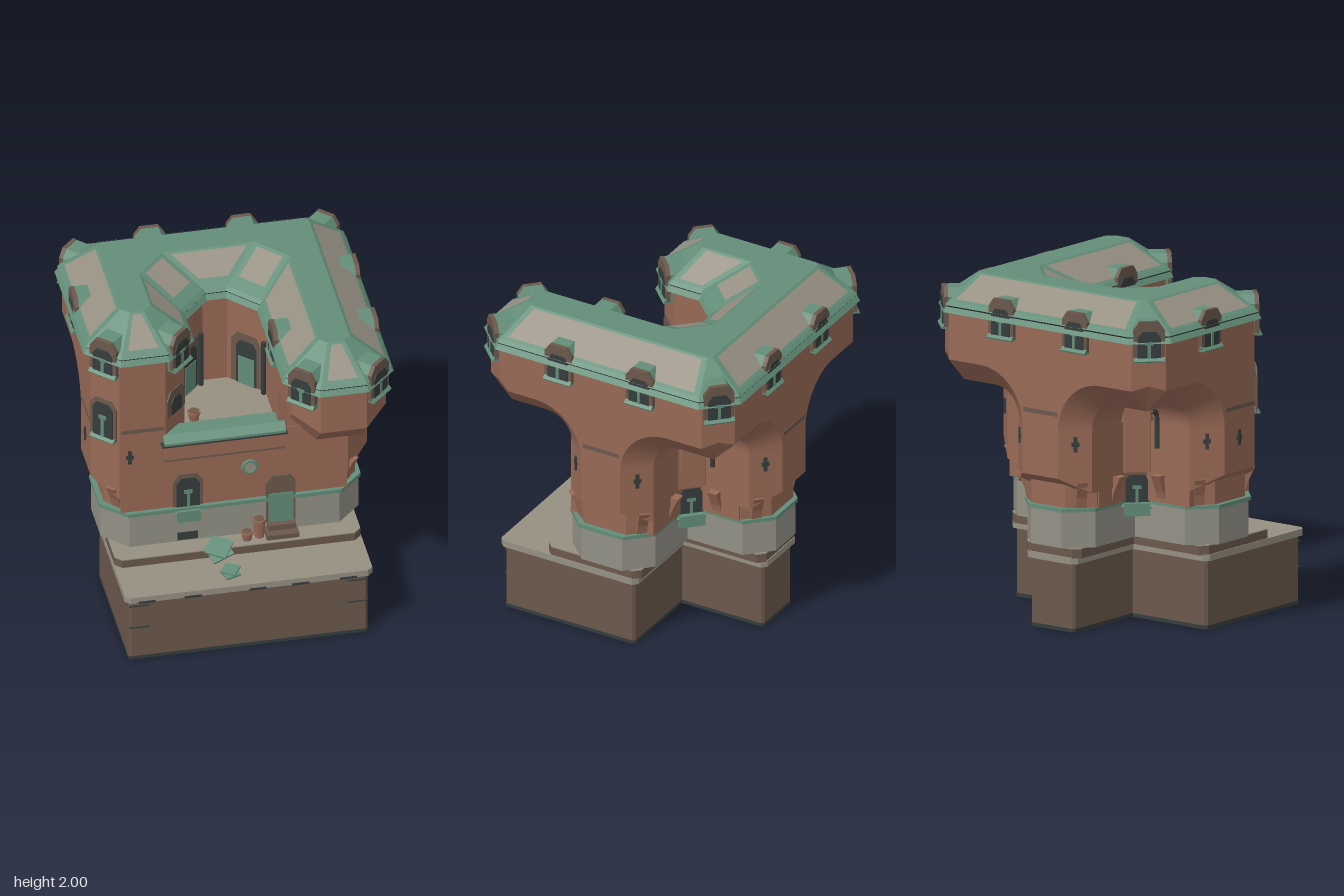
import * as THREE from 'three';

const mat = (name, color) => {
  const m = new THREE.MeshStandardMaterial({ color });
  m.name = name;
  return m;
};

export function createModel() {
  const clay = mat('terracotta', 0x986956), green = mat('patina green', 0x638d78), stone = mat('pale stone', 0x969082);
  const brown = mat('brown rock', 0x6b584c), dark = mat('dark slate', 0x353d3c), grey = mat('grey plaster', 0x929085);
  brown.side = THREE.DoubleSide;
  const root = new THREE.Group();
  const add = (name, geo, m, parent = root) => {
    const mesh = new THREE.Mesh(geo, m);
    mesh.name = name;
    parent.add(mesh);
    return mesh;
  };
  const box = (name, m, x0, x1, y0, y1, z0, z1, parent) => add(name,
    new THREE.BoxGeometry(x1 - x0, y1 - y0, z1 - z0).translate((x0 + x1) / 2, (y0 + y1) / 2, (z0 + z1) / 2), m, parent);
  const shapeOf = pts => new THREE.Shape(pts.map(p => new THREE.Vector2(p[0], p[1])));
  // Vertical prism over a plan polygon of [x, z] points
  const prism = (name, m, plan, y0, y1) => add(name,
    new THREE.ExtrudeGeometry(shapeOf(plan.map(([x, z]) => [x, -z])), { depth: y1 - y0, bevelEnabled: false })
      .rotateX(-Math.PI / 2).translate(0, y0, 0), m);
  // Faces from lists of four corners
  const quads = list => {
    const g = new THREE.BufferGeometry().setFromPoints(list.flatMap(([a, b, c, d]) => [a, b, c, a, c, d]));
    g.computeVertexNormals();
    return g;
  };
  const strip = (up, low) => quads(up.map((p, i) => {
    const j = (i + 1) % up.length;
    return [low[i], p, up[j], low[j]];
  }));
  const loop = (plan, y) => plan.map(([x, z]) => new THREE.Vector3(x, y, z));
  // T-shaped plan with two notched back corners and chamfered ends
  const tee = (w, front, a, c) => {
    const half = [[w - c, front], [w, front - c], [w, -a + c], [w - c, -a], [a, -a], [a, -w + c], [a - c, -w]];
    return [...half, ...half.map(([x, z]) => [-x, z]).reverse()];
  };
  // Group whose local +z points outwards
  const spot = (name, x, y, z, angle) => {
    const g = new THREE.Group();
    g.name = name;
    g.position.set(x, y, z);
    g.rotation.y = angle;
    root.add(g);
    return g;
  };
  const Q = Math.PI / 4;

  // Hollow rock base, ledge and terrace
  const basePlan = tee(0.7, 0.7, 0.16, 0.015).reverse(), footPlan = tee(0.704, 0.704, 0.164, 0.015).reverse();
  add('base', strip(loop(basePlan, 0.41), loop(basePlan, 0)), brown);
  add('baseFoot', strip(loop(footPlan, 0.022), loop(footPlan, 0)), dark);
  prism('baseLedge', stone, tee(0.725, 0.725, 0.185, 0.03), 0.405, 0.445);
  prism('terraceStep', brown, tee(0.72, 0.42, 0.2, 0.04), 0.44, 0.494);
  prism('terraceTop', stone, tee(0.72, 0.42, 0.2, 0.04), 0.494, 0.5);
  for (const s of [-1, 1]) for (const y of [0.215, 0.365])
    box('baseCrack', dark, s * 0.64 - 0.06, s * 0.64 + 0.06, y, y + 0.008, 0.695, 0.704);
  for (const x of [-0.6, -0.33, 0.05, 0.3, 0.58])
    box('ledgeChip', dark, x - 0.05, x + 0.05, 0.402, 0.416, 0.72, 0.728);

  // Plaster plinth with green trim and recessed neck
  prism('plinth', grey, tee(0.755, 0.3, 0.25, 0.14), 0.5, 0.715);
  prism('plinthTrim', green, tee(0.765, 0.31, 0.26, 0.14), 0.712, 0.735);
  prism('neck', clay, tee(0.735, 0.28, 0.255, 0.13), 0.73, 0.92);

  // Wings: an arched wall outline with bevelled edges, cut level under the eaves and over the neck
  const bevel = 0.14, arm = 0.27, r = 0.17, reach = 0.81, under = 1.37, inner = 0.26;
  const wing = (name, angle, straightSide) => {
    const s = new THREE.Shape();
    s.moveTo(-arm, 0.78);
    if (straightSide) {
      s.lineTo(0.285, 0.78);
      s.lineTo(0.285, 1.95);
    } else {
      s.lineTo(arm, 0.78);
      s.lineTo(arm, under - r);
      s.absarc(arm + r, under - r, r, Math.PI, Math.PI / 2, true);
      s.lineTo(reach - bevel, under);
      s.lineTo(reach, under + bevel);
      s.lineTo(reach, 1.95);
    }
    s.lineTo(-reach, 1.95);
    s.lineTo(-reach, under + bevel);
    s.lineTo(-reach + bevel, under);
    s.lineTo(-arm - r, under);
    s.absarc(-arm - r, under - r, r, Math.PI / 2, 0, true);
    const g = new THREE.ExtrudeGeometry(s, {
      depth: reach - inner - 2 * bevel, bevelThickness: bevel, bevelSize: bevel, bevelOffset: -bevel,
      bevelSegments: 1, curveSegments: 7,
    }).translate(0, 0, inner + bevel).rotateY(angle);
    const p = g.attributes.position;
    for (let i = 0; i < p.count; i++) p.setY(i, THREE.MathUtils.clamp(p.getY(i), 0.83, 1.81));
    g.computeVertexNormals();
    add(name, g, clay);
  };
  wing('leftWing', 2 * Q, false);
  wing('rightWing', -2 * Q, true);
  wing('backWing', 4 * Q, false);

  // Core and courtyard
  box('frontWall', clay, -0.66, 0.66, 0.73, 1.2, -0.265, 0.285);
  box('backCore', clay, -0.265, 0.265, 0.73, 1.2, -0.6, -0.26);
  box('courtyardPier', clay, 0.258, 0.45, 1.19, 1.56, -0.26, 0.28);
  prism('courtyardFloor', stone, [[-0.27, 0.28], [0.27, 0.28], [0.27, -0.27], [-0.27, -0.27]], 1.198, 1.206);
  for (const s of [-1, 1]) {
    prism('courtyardCorner', clay, [[s * 0.262, -0.07], [s * 0.07, -0.262], [s * 0.3, -0.3]], 1.19, 1.83);
    prism('alcoveWall', clay, [[s * 0.2, -0.2], [s * 0.38, -0.2], [s * 0.38, -0.27], [s * 0.27, -0.38], [s * 0.2, -0.38]], 0.9, 1.42);
    prism('alcoveFoot', clay, [[s * 0.2, -0.2], [s * 0.35, -0.2], [s * 0.35, -0.25], [s * 0.25, -0.35], [s * 0.2, -0.35]], 0.73, 0.9);
  }

  // Weathered bands on the walls
  box('wallBand', brown, -0.66, -0.41, 1.285, 1.31, 0.28, 0.287);
  box('wallBand', brown, -0.813, -0.805, 1.285, 1.31, -0.12, 0.14);
  box('wallBand', brown, 0.805, 0.813, 1.285, 1.31, -0.12, 0.12);
  box('wallBand', brown, -0.12, 0.12, 1.285, 1.31, -0.813, -0.805);

  // Roof: eave points paired with ridge points
  const roof = [
    [-0.82, -0.66, -0.62, -0.6], [-0.66, -0.82, -0.6, -0.62], [0.66, -0.82, 0.6, -0.62], [0.82, -0.66, 0.62, -0.6],
    [0.82, 0.66, 0.62, 0.57], [0.66, 0.82, 0.58, 0.61], [0.4, 0.82, 0.48, 0.61], [0.24, 0.66, 0.44, 0.57],
    [0.24, -0.07, 0.44, -0.27], [0.07, -0.25, 0.27, -0.45], [-0.07, -0.25, -0.27, -0.45], [-0.24, -0.07, -0.44, -0.27],
    [-0.24, 0.14, -0.44, 0.05], [-0.4, 0.3, -0.49, 0.09], [-0.66, 0.3, -0.57, 0.09], [-0.82, 0.14, -0.62, 0.05],
  ];
  const n = roof.length;
  const ring = (d, y) => roof.map(([x, z], i) => {
    const [px, pz] = roof[(i + n - 1) % n], [qx, qz] = roof[(i + 1) % n];
    const a = new THREE.Vector2(z - pz, px - x).normalize(), b = new THREE.Vector2(qz - z, x - qx).normalize();
    const k = d / (1 + a.dot(b));
    return new THREE.Vector3(x + (a.x + b.x) * k, y, z + (a.y + b.y) * k);
  });
  const ridge = roof.map(p => new THREE.Vector3(p[2], 2, p[3])), eave = ring(0, 1.855);
  add('roofTop', new THREE.ShapeGeometry(shapeOf(ridge.map(p => [p.x, -p.z]))).rotateX(-Math.PI / 2).translate(0, 2, 0), green);
  add('roofSlopes', strip(ridge, eave), green);
  add('eaveLip', strip(eave, ring(0.02, 1.835)), green);
  add('eaveShadowLine', strip(ring(0.02, 1.835), ring(0.014, 1.826)), dark);
  add('eaveGutter', strip(ring(0.014, 1.826), ring(0.035, 1.795)), green);
  add('eaveSoffit', strip(ring(0.035, 1.795), ring(-0.05, 1.79)), green);
  const panels = [];
  for (let i = 0; i < n; i++) {
    if ([0, 2, 4, 6, 12, 14].includes(i)) continue;
    const j = (i + 1) % n, low = i > 7 && i < 11 ? 0.25 : 0.08;
    const at = (u, v) => {
      const edge = (p, q) => p.clone().lerp(q, Math.abs(u - Math.min(0.25, 0.035 / p.distanceTo(q))));
      return edge(eave[i], eave[j]).lerp(edge(ridge[i], ridge[j]), v);
    };
    const c = [at(0, low), at(0, 0.93), at(1, 0.93), at(1, low)];
    const lift = c[1].clone().sub(c[0]).cross(c[3].clone().sub(c[0])).normalize().multiplyScalar(0.004);
    panels.push(c.map(p => p.add(lift)));
  }
  add('roofPanels', quads(panels), stone);

  // Arched plates for windows and dormers, base at y = 0
  const arch = (w, h, d, z) => new THREE.ExtrudeGeometry(
    shapeOf([[-w / 2, 0], [w / 2, 0], [w / 2, h - w * 0.28], [w * 0.3, h], [-w * 0.3, h], [-w / 2, h - w * 0.28]]),
    { depth: d, bevelEnabled: false }).translate(0, 0, z);
  const bracket = (g, h) => {
    box('windowStem', green, -0.009, 0.009, 0.01, h * 0.6, 0, 0.014, g);
    box('windowHead', green, -0.025, 0.025, h * 0.55, h * 0.66, 0, 0.014, g);
  };
  const sillShape = shapeOf([[-0.03, -0.01], [0.02, -0.013], [0.024, -0.005], [0, 0.02], [-0.03, 0.02]]);
  const sill = (g, w) => add('sill', new THREE.ExtrudeGeometry(sillShape, { depth: w, bevelEnabled: false })
    .rotateY(-Math.PI / 2).translate(w / 2, 0, 0), green, g);
  const dormers = [
    [-0.27, -0.83, 4], [0.27, -0.83, 4], [0.83, 0.27, 2], [0.83, -0.27, 2], [-0.83, -0.28, -2], [0.225, 0.27, -2],
    [0.755, 0.755, 1], [0.755, -0.755, 3], [-0.755, -0.755, -3], [-0.755, 0.235, -1], [-0.3, 0.235, 1], [0.3, 0.755, -1],
  ];
  for (const [x, z, a] of dormers) {
    const g = spot('dormer', x, 1.7, z, a * Q);
    add('dormerFace', arch(0.18, 0.225, 0.025, -0.02), brown, g);
    add('dormerRoof', arch(0.178, 0.223, 0.11, -0.13), green, g);
    add('dormerWindow', arch(0.135, 0.165, 0.006, 0.003), dark, g);
    bracket(g, 0.16);
    sill(g, 0.18);
  }

  // Wall windows: [x, y, z, angle, width, height, surround margin]
  const windows = [[-0.752, 1.24, 0.222, -1, 0.14, 0.24, 0.04], [-0.328, 1.36, 0.218, 1, 0.1, 0.11, 0.08],
    [-0.27, 0.7, 0.287, 0, 0.135, 0.23, 0.04], [0.305, 0.7, -0.305, 3, 0.15, 0.18, 0.04], [-0.305, 0.7, -0.305, -3, 0.15, 0.18, 0.04]];
  for (const [x, y, z, a, w, h, margin] of windows) {
    const g = spot('wallWindow', x, y, z, a * Q);
    add('windowSurround', arch(w + margin, h + margin * 0.7, 0.008, -0.004), brown, g);
    add('windowOpening', arch(w, h, 0.006, 0.003), dark, g);
    if (h > 0.12) {
      bracket(g, h);
      sill(g, w + 0.02);
    }
    if (y === 0.7) box('windowApron', green, -w / 2, w / 2, -0.055, 0.02, -0.02, 0.04, g);
  }

  // Courtyard doors, downpipes and pots
  for (const s of [-1, 1]) {
    const g = spot('courtyardDoor', s * 0.17, 1.206, -0.17, -s * Q);
    add('doorSurround', arch(0.21, 0.35, 0.006, 0), brown, g);
    add('doorOpening', arch(0.14, 0.3, 0.006, 0.003), dark, g);
    box('doorLeaf', green, -0.055, 0.055, 0, 0.19, 0.006, 0.013, g);
  }
  for (const [x, z] of [[-0.095, -0.2], [0.24, -0.04]])
    add('downpipe', new THREE.CylinderGeometry(0.016, 0.016, 0.36, 6).translate(x, 1.4, z), dark);
  const pot = (name, x, y, z, rad, h) => {
    add(name, new THREE.CylinderGeometry(rad, rad * 0.75, h, 6).translate(x, y + h / 2, z), clay);
    add(name + 'Rim', new THREE.CylinderGeometry(rad * 1.1, rad * 1.1, h * 0.18, 6).translate(x, y + h * 0.9, z), clay);
    add(name + 'Soil', new THREE.CylinderGeometry(rad * 0.8, rad * 0.8, 0.006, 6).translate(x, y + h, z), brown);
  };
  pot('courtyardPot', -0.2, 1.205, 0.11, 0.038, 0.06);
  pot('tallPot', 0.135, 0.5, 0.345, 0.038, 0.125);
  pot('smallPot', 0.06, 0.5, 0.36, 0.036, 0.055);

  // Balcony with sloping green coping
  const coping = shapeOf([[-0.19, 1.2], [-0.19, 1.25], [-0.29, 1.25], [-0.335, 1.215], [-0.335, 1.195]]);
  add('balconyCoping', new THREE.ExtrudeGeometry(coping, { depth: 0.71, bevelEnabled: false })
    .rotateY(Math.PI / 2).translate(-0.415, 0, 0), green);
  box('balconyLine', dark, -0.43, 0.305, 1.19, 1.2, 0.27, 0.337);
  box('balconyBeam', clay, -0.4, 0.28, 1.09, 1.19, 0.27, 0.315);
  box('balconyLowerBeam', brown, -0.41, 0.29, 1.08, 1.092, 0.27, 0.32);

  // Front door, steps, round window, vent and patch under the overhang
  const door = spot('frontDoor', 0.27, 0.56, 0.302, 0);
  add('doorSurround', arch(0.17, 0.32, 0.03, -0.025), brown, door);
  box('doorLeaf', green, -0.072, 0.072, 0, 0.2, 0, 0.012, door);
  box('stepUpper', brown, 0.19, 0.35, 0.5, 0.565, 0.29, 0.35);
  box('stepLower', brown, 0.17, 0.36, 0.5, 0.53, 0.29, 0.4);
  add('roundWindow', new THREE.CylinderGeometry(0.034, 0.034, 0.01, 8).rotateX(Math.PI / 2).translate(0.09, 0.96, 0.29), stone);
  add('roundWindowRing', new THREE.TorusGeometry(0.042, 0.011, 6, 8).translate(0.09, 0.96, 0.292), green);
  box('vent', dark, -0.335, -0.215, 0.51, 0.56, 0.298, 0.306);
  box('overhangPatch', brown, 0.41, 0.655, 1.18, 1.34, 0.28, 0.288);

  // Arrow slits on the chamfers
  for (const [x, z, a] of [[0.742, 0.205, 1], [0.742, -0.205, 3], [0.205, -0.742, 3], [-0.205, -0.742, -3],
    [-0.742, -0.205, -3], [-0.61, 0.287, 0], [-0.813, 0, -2]]) {
    const g = spot('arrowSlit', x, 1.12, z, a * Q);
    box('slitUpright', dark, -0.01, 0.01, -0.045, 0.045, -0.008, 0.006, g);
    box('slitCross', dark, -0.022, 0.022, -0.012, 0.012, -0.008, 0.005, g);
  }

  // Corbels under the wing ends
  const wedge = shapeOf([[-0.03, 0], [0.01, 0], [0.025, 0.06], [0.07, 0.16], [-0.03, 0.16]]);
  for (const [x, z, a] of [[0.67, 0.21, 1], [0.67, -0.19, 3], [0.19, -0.67, 3], [-0.19, -0.67, -3],
    [-0.67, -0.19, -3], [-0.67, 0.21, -1], [0.45, -0.25, 4], [-0.45, -0.25, 4], [0.25, -0.45, 2], [-0.25, -0.45, -2]]) {
    const g = spot('corbel', x, 0.735, z, a * Q);
    add('corbelWedge', new THREE.ExtrudeGeometry(wedge, { depth: 0.06, bevelEnabled: false })
      .translate(0, 0, -0.03).rotateY(-Math.PI / 2), clay, g);
  }

  // Alcove boxes with bent pipes
  const bend = new THREE.CatmullRomCurve3([[0.11, 1.05, 0.04], [0.11, 1.22, 0.04], [0.105, 1.265, 0.05], [0.07, 1.28, 0.09]]
    .map(p => new THREE.Vector3(...p)));
  for (const [s, a] of [[1, 3], [-1, -3]]) {
    const g = spot('alcoveFittings', s * 0.325, 0, -0.325, a * Q);
    box('alcoveBox', clay, -0.07, 0.07, 1.04, 1.3, -0.03, 0.035, g);
    add('alcovePipe', new THREE.TubeGeometry(bend, 10, 0.016, 6), dark, g);
  }

  // Plants: tilted square leaves on a stem
  for (const [x, z, size, y, tilt] of [[-0.12, 0.44, 0.13, 0.5, 0.3], [-0.09, 0.62, 0.09, 0.465, 0.05]]) {
    const g = spot('plant', x, y, z, 0);
    for (let i = 0; i < 2; i++) {
      const leaf = add('leaf', new THREE.BoxGeometry(size, 0.012, size), green, g);
      leaf.position.y = i * 0.025;
      leaf.rotation.set(tilt * (1 - i * 0.5), i * 0.7 + 0.3, tilt * 0.6);
    }
    add('stem', new THREE.CylinderGeometry(0.012, 0.012, 0.06, 5).translate(0, -0.03, 0), green, g);
  }
  return root;
}
